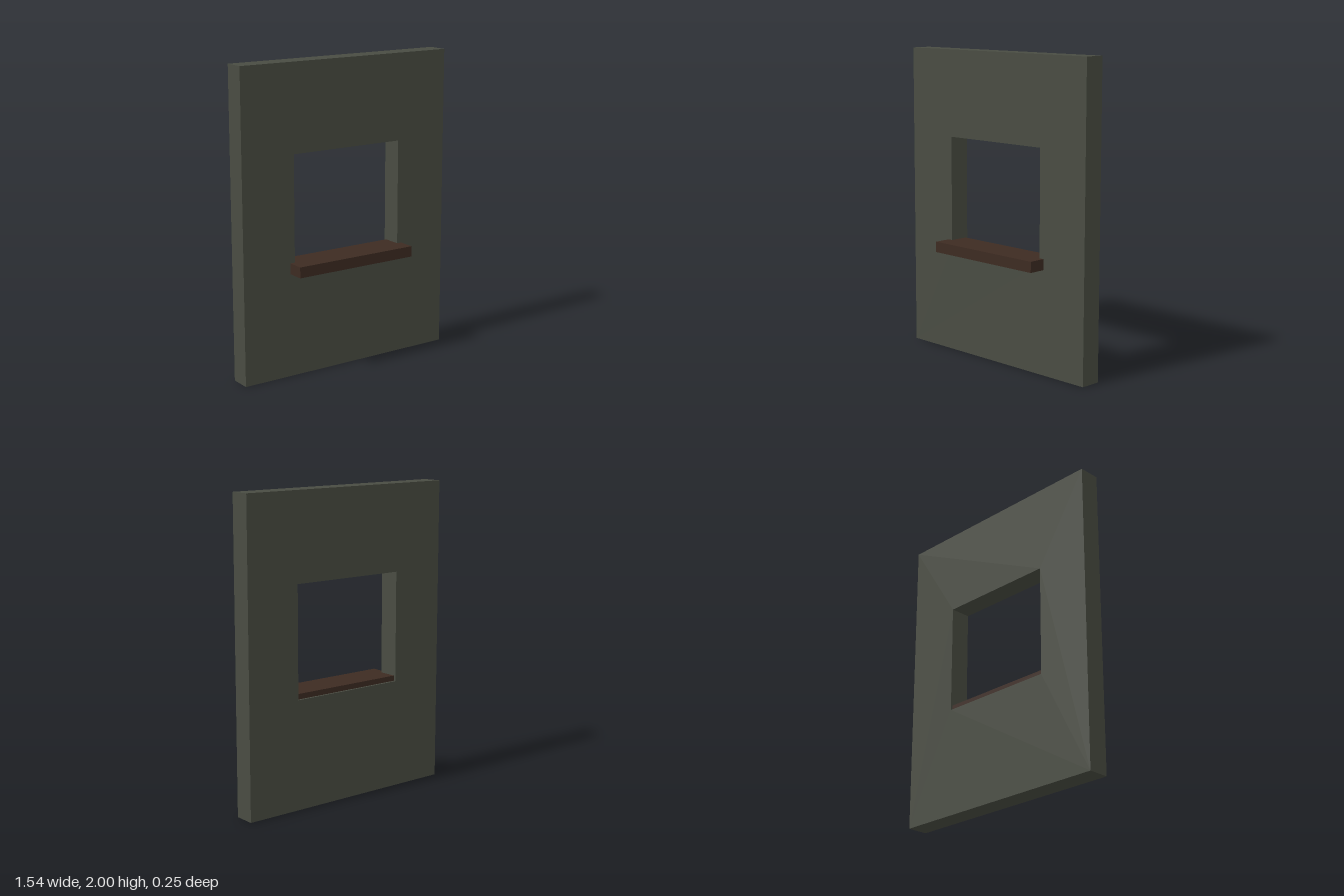
import * as THREE from 'three';

export function createModel() {
  const group = new THREE.Group();
  const wallGreen = new THREE.MeshStandardMaterial({ color: 0x494c42 });
  wallGreen.name = 'wallGreen';
  const sillBrown = new THREE.MeshStandardMaterial({ color: 0x3d2b22 });
  sillBrown.name = 'sillBrown';

  const rectangle = (target, x, bottom, top) => {
    target.moveTo(-x, bottom);
    target.lineTo(x, bottom);
    target.lineTo(x, top);
    target.lineTo(-x, top);
    target.closePath();
    return target;
  };

  // Wall slab with a window opening
  const outline = rectangle(new THREE.Shape(), 0.77, 0, 2);
  outline.holes.push(rectangle(new THREE.Path(), 0.4, 0.71, 1.433));
  const wall = new THREE.Mesh(
    new THREE.ExtrudeGeometry(outline, { depth: 0.138, bevelEnabled: false }),
    wallGreen
  );
  wall.name = 'wall';
  wall.position.z = -0.125;
  group.add(wall);

  // Sill board running through the opening, set just short of the back face
  const sill = new THREE.Mesh(new THREE.BoxGeometry(0.866, 0.07, 0.235), sillBrown);
  sill.name = 'windowSill';
  sill.position.set(0, 0.71, 0.0075);
  group.add(sill);

  return group;
}
